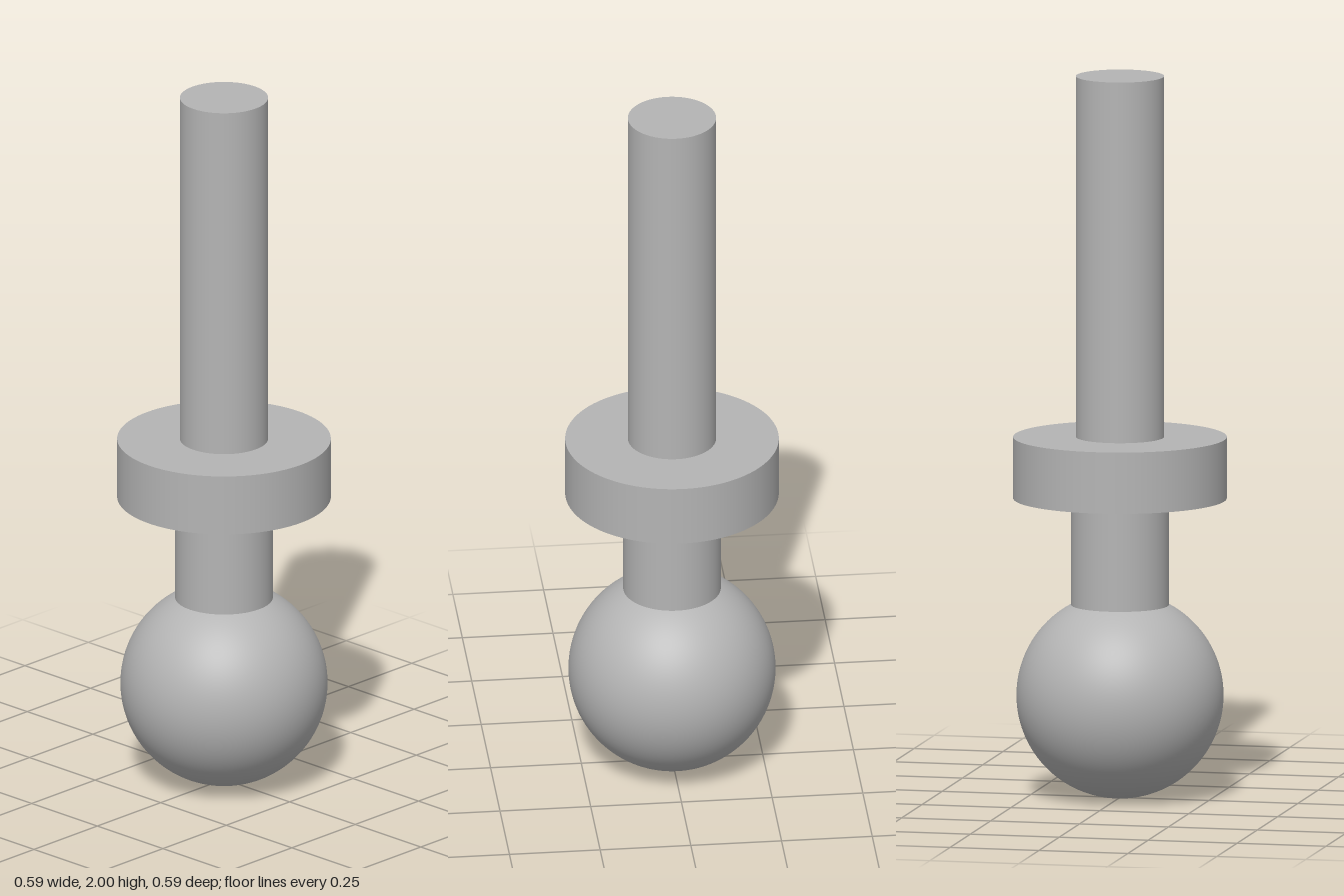
import * as THREE from 'three';

export function createModel() {
  const model = new THREE.Group();
  model.name = 'ballStud';
  const steel = new THREE.MeshStandardMaterial({ color: 0xb4b4b4 });
  steel.name = 'steelGrey';

  const add = (name, geometry, y) => {
    const mesh = new THREE.Mesh(geometry, steel);
    mesh.name = name;
    mesh.position.y = y;
    model.add(mesh);
  };
  // Upright cylinder between two heights
  const rod = (name, radius, y0, y1, open = false) =>
    add(name, new THREE.CylinderGeometry(radius, radius, y1 - y0, 96, 1, open), (y0 + y1) / 2);

  // Ball, cut off where the neck begins
  const ballRadius = 0.284, neckRadius = 0.134;
  const cut = Math.asin(neckRadius / ballRadius);
  add('ball', new THREE.SphereGeometry(ballRadius, 96, 64, 0, Math.PI * 2, cut, Math.PI - cut), ballRadius);

  // Neck, collar and shaft
  const neckBase = ballRadius * (1 + Math.cos(cut));
  rod('neck', neckRadius, neckBase, 0.83, true);
  rod('collar', 0.293, 0.83, 1);
  rod('shaft', 0.121, 1, 2);
  return model;
}
